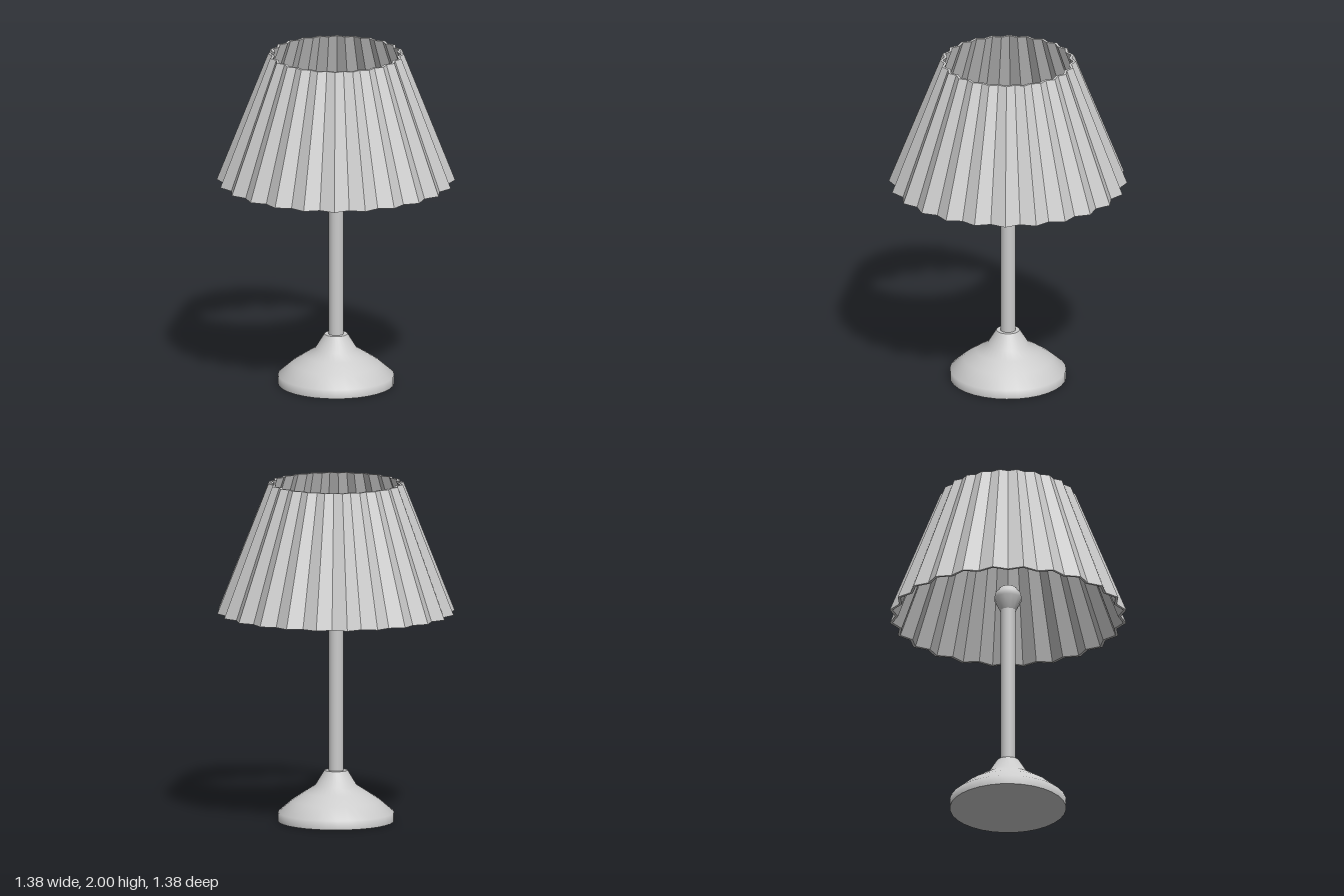
import * as THREE from 'three';

const PLEATS = 24;
const grey = new THREE.MeshStandardMaterial({ color: 0xcccccc });
const greyFlat = new THREE.MeshStandardMaterial({ color: 0xcccccc, flatShading: true });

function lathe(name, profile, segments, material = grey) {
  const points = profile.map(([r, y]) => new THREE.Vector2(r, y));
  const mesh = new THREE.Mesh(new THREE.LatheGeometry(points, segments), material);
  mesh.name = name;
  return mesh;
}

// Pleated shade: a thin closed shell whose every other meridian is pulled inward
function createShade() {
  const shade = lathe('shade', [
    [0.697, 1.235], [0.397, 2], [0.38, 2], [0.68, 1.235], [0.697, 1.235],
  ], PLEATS * 2, greyFlat);
  const pos = shade.geometry.attributes.position;
  for (let i = 0; i < pos.count; i++) {
    const meridian = Math.floor(i / 5);
    if (meridian % 2 === 0) {
      pos.setX(i, pos.getX(i) * 0.945);
      pos.setZ(i, pos.getZ(i) * 0.945);
    }
  }
  shade.geometry = shade.geometry.toNonIndexed();
  shade.geometry.computeVertexNormals();
  return shade;
}

export function createModel() {
  const lamp = new THREE.Group();
  lamp.name = 'tableLamp';

  // Bell-shaped foot with a short rim, a flat top and a flat underside
  lamp.add(lathe('base', [[0.34, 0], [0.34, 0.053], [0.26, 0.122], [0.185, 0.172], [0.122, 0.212], [0.068, 0.3]], 32));
  lamp.add(lathe('baseTop', [[0.068, 0.3], [0, 0.3]], 32));
  lamp.add(lathe('baseUnderside', [[0, 0], [0.34, 0]], 32));

  // Stem
  const stem = new THREE.Mesh(new THREE.CylinderGeometry(0.045, 0.045, 1.0, 16), grey);
  stem.name = 'stem';
  stem.position.y = 0.79;
  lamp.add(stem);

  // Bulb on top of the stem
  lamp.add(lathe('bulb', [[0.045, 1.27], [0.083, 1.345], [0.075, 1.38], [0.05, 1.415], [0.02, 1.43], [0, 1.432]], 12));

  lamp.add(createShade());
  return lamp;
}
